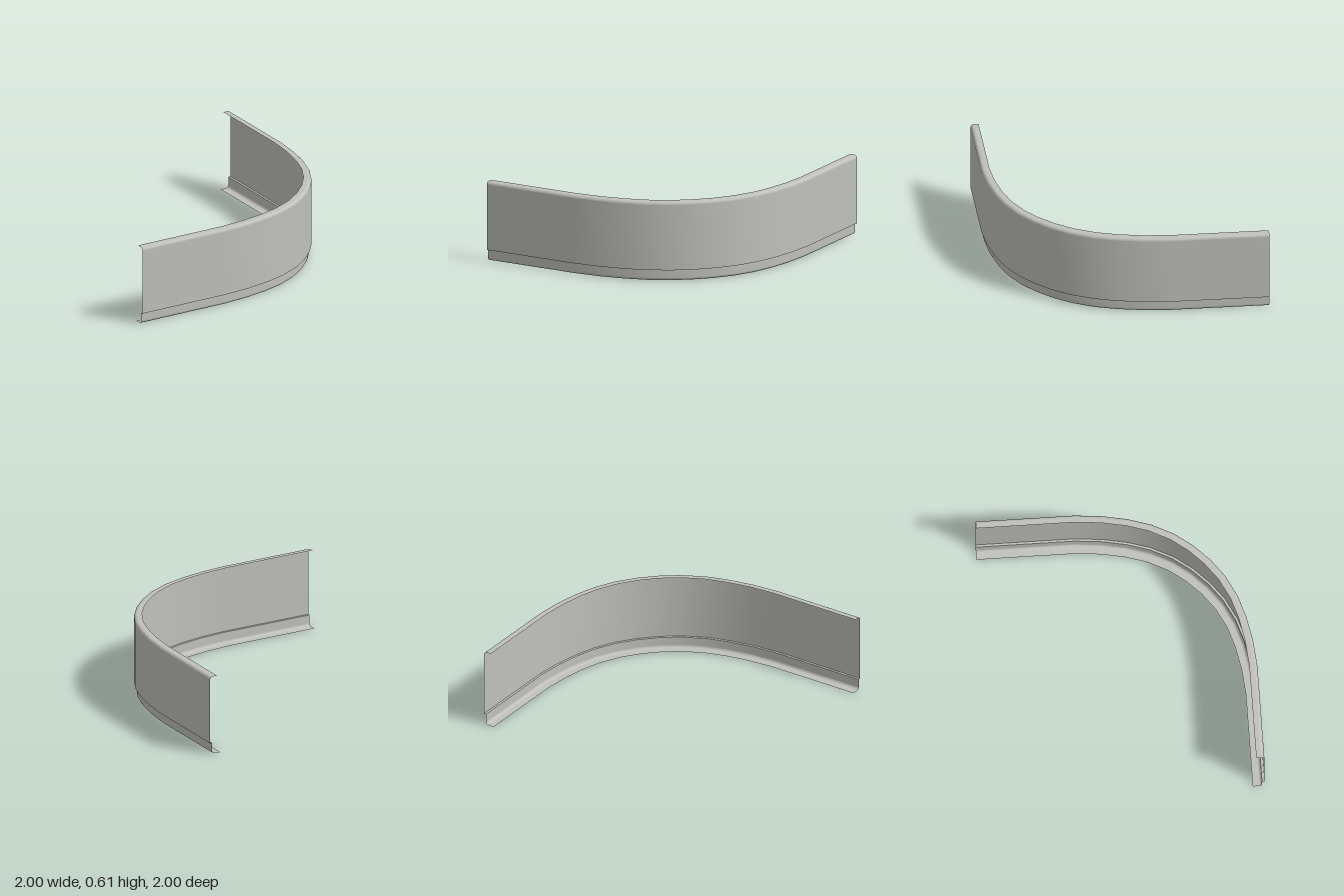
import * as THREE from 'three';

// Outer plan line (x, z): straight, curved corner, straight; mirrored about x = z
const half = [[-1, 1], [-0.27, 0.998], [-0.064, 0.979], [0.12, 0.943], [0.289, 0.89], [0.453, 0.807], [0.588, 0.706]];
const path = [...half, ...half.map(([x, z]) => [z, x]).reverse()].map(([x, z]) => new THREE.Vector2(x, z));

// Inward mitre vector at each plan point, so offsets keep an even width
const mitres = path.map((p, i) => {
  const inward = (a, b) => {
    const t = b.clone().sub(a).normalize();
    return new THREE.Vector2(t.y, -t.x);
  };
  if (i === 0) return new THREE.Vector2(0, -1);
  if (i === path.length - 1) return new THREE.Vector2(-1, 0);
  const n = inward(path[i - 1], p);
  const m = n.clone().add(inward(p, path[i + 1])).normalize();
  return m.divideScalar(m.dot(n));
});

// Sweep a profile of [inset, height] points, listed top to bottom, along the plan line
function sweep(name, profile, material) {
  const positions = [], index = [], n = profile.length;
  path.forEach((p, i) => {
    for (const [inset, y] of profile) {
      positions.push(p.x + mitres[i].x * inset, y, p.y + mitres[i].y * inset);
    }
    if (i === path.length - 1) return;
    for (let j = 0; j < n - 1; j++) {
      const a = i * n + j, d = a + n;
      index.push(a, a + 1, d + 1, a, d + 1, d);
    }
  });
  const geometry = new THREE.BufferGeometry();
  geometry.setAttribute('position', new THREE.Float32BufferAttribute(positions, 3));
  geometry.setIndex(index);
  geometry.computeVertexNormals();
  const mesh = new THREE.Mesh(geometry, material);
  mesh.name = name;
  return mesh;
}

// Quarter-round bend between two angles, as profile points
function bend(cx, cy, r, from, to, steps = 5) {
  return Array.from({ length: steps + 1 }, (_, k) => {
    const a = from + (to - from) * k / steps;
    return [cx + r * Math.cos(a), cy + r * Math.sin(a)];
  });
}

export function createModel() {
  const group = new THREE.Group();
  group.name = 'curvedPanel';
  const metal = new THREE.MeshStandardMaterial({ color: 0xc0c0bc, side: THREE.DoubleSide });
  metal.name = 'light grey metal';

  // Tall outer panel with a rolled top lip
  group.add(sweep('upperPanel', [
    [0.06, 0.607], ...bend(0.025, 0.582, 0.025, Math.PI / 2, Math.PI), [0, 0.085],
  ], metal));
  // Narrow ledge joining the panel to the recessed base
  group.add(sweep('stepLedge', [[0, 0.085], [0.018, 0.085]], metal));
  // Recessed base strip with a rolled bottom lip
  group.add(sweep('baseStrip', [
    [0.018, 0.085], ...bend(0.04, 0.022, 0.022, Math.PI, Math.PI * 1.5), [0.086, 0],
  ], metal));
  return group;
}
